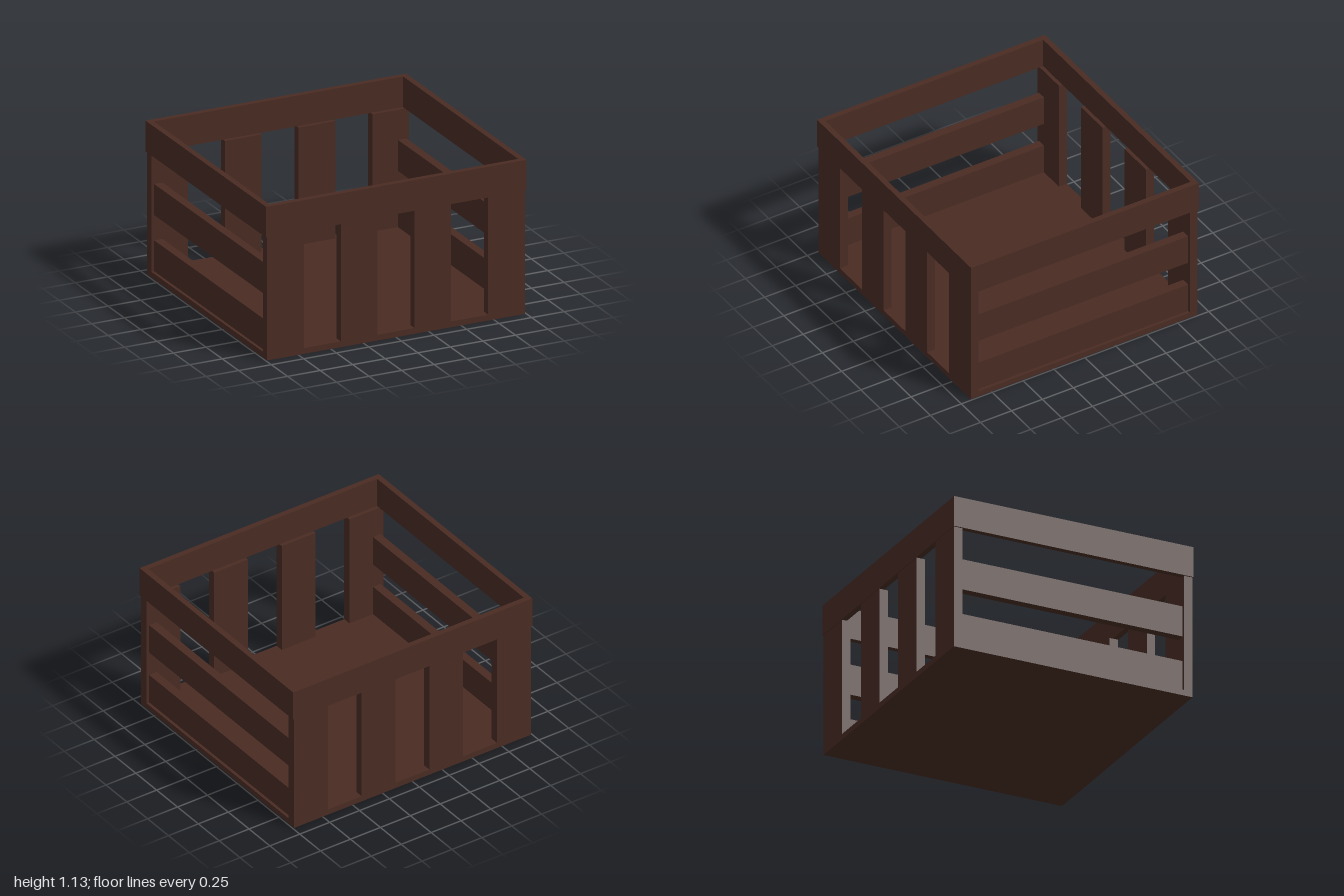
import * as THREE from 'three';

export function createModel() {
  const crate = new THREE.Group();
  crate.name = 'crate';
  const wood = new THREE.MeshStandardMaterial({ color: 0x4a2c23 });
  wood.name = 'dark brown wood';

  // Board given by its minimum and maximum corners
  function board(name, [x0, y0, z0], [x1, y1, z1]) {
    const mesh = new THREE.Mesh(new THREE.BoxGeometry(x1 - x0, y1 - y0, z1 - z0), wood);
    mesh.name = name;
    mesh.position.set((x0 + x1) / 2, (y0 + y1) / 2, (z0 + z1) / 2);
    crate.add(mesh);
  }

  const floorTop = 0.043, rimBottom = 0.907, top = 1.133;
  const bodyX = 0.99, bodyZ = 0.917, slatInnerZ = 0.853;

  board('floor', [-bodyX, 0, -bodyZ], [bodyX, floorTop, bodyZ]);

  for (const [side, s] of [['front', 1], ['back', -1]]) {
    // Four upright slats, evenly spaced
    const za = Math.min(s * slatInnerZ, s * bodyZ), zb = Math.max(s * slatInnerZ, s * bodyZ);
    for (let i = 0; i < 4; i++) {
      const x = -bodyX + i * 0.566;
      board(side + 'Slat' + (i + 1), [x, floorTop, za], [x + 0.282, rimBottom, zb]);
    }
    // Long rim board
    const ra = Math.min(s * 0.88, s * 0.921), rb = Math.max(s * 0.88, s * 0.921);
    board(side + 'Rim', [-1, rimBottom, ra], [1, top, rb]);
  }

  for (const [side, s] of [['left', 1], ['right', -1]]) {
    // Horizontal side boards, slightly recessed
    const xa = Math.min(s * 0.905, s * 0.968), xb = Math.max(s * 0.905, s * 0.968);
    board(side + 'LowerBoard', [xa, floorTop, -slatInnerZ], [xb, 0.27, slatInnerZ]);
    board(side + 'MiddleBoard', [xa, 0.456, -slatInnerZ], [xb, 0.684, slatInnerZ]);
    // Short rim board, between the long ones
    const ra = Math.min(s * 0.957, s), rb = Math.max(s * 0.957, s);
    board(side + 'Rim', [ra, rimBottom, -0.88], [rb, top, 0.88]);
  }
  return crate;
}
